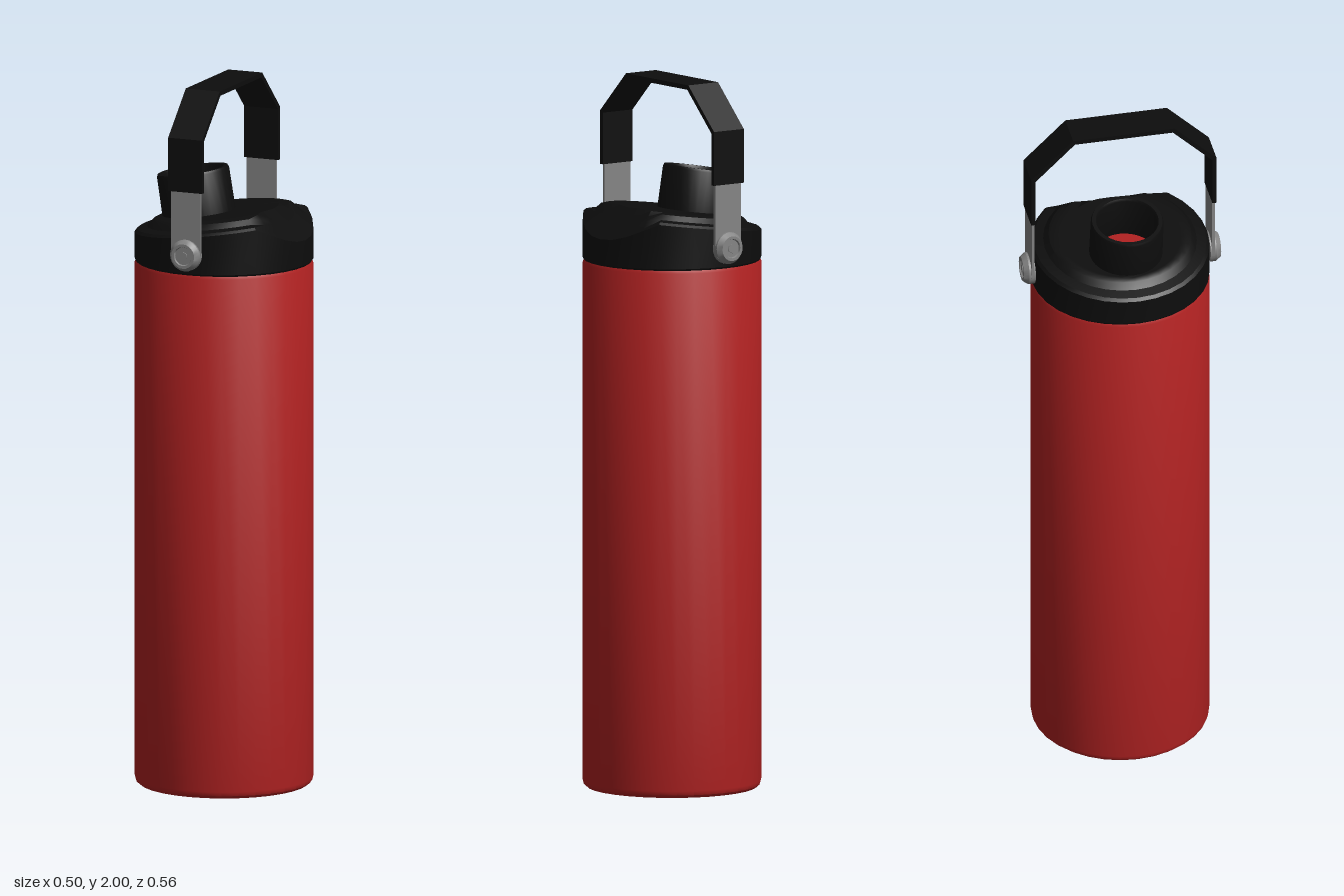
import * as THREE from 'three';
import { toCreasedNormals } from 'three/addons/utils/BufferGeometryUtils.js';

const SEG = 32;
const flat = (name, color, side = THREE.FrontSide) => {
  const m = new THREE.MeshStandardMaterial({ color, side });
  m.name = name;
  return m;
};

// Revolved profile with sharp edges kept
const lathe = (pts, seg = SEG) =>
  toCreasedNormals(new THREE.LatheGeometry(pts.map(([x, y]) => new THREE.Vector2(x, y)), seg), 0.6);

// Lid shell: circular rings whose height follows a tilted deck with a sloping front cut
function lidGeometry() {
  const deck = (x) => 1.63 + 0.125 * x;
  const cut = (x) => 1.65 - 0.85 * (x - 0.15);
  // radius, centre x, drop below the deck (null = fixed base height)
  const rings = [
    [0.247, 0, null], [0.25, 0, null], [0.25, 0, 0.032], [0.242, 0, 0.025], [0.215, 0, 0.02],
    [0.2, 0, 0.005], [0.185, -0.003, 0], [0.168, -0.015, 0], [0.092, -0.078, 0],
  ];
  const pos = [], idx = [];
  rings.forEach(([r, c, drop], j) => {
    for (let i = 0; i < SEG; i++) {
      const a = (i / SEG) * Math.PI * 2;
      const x = c + r * Math.cos(a);
      const y = drop === null ? 1.49 + j * 0.005 : Math.min(deck(x) - drop, cut(x));
      pos.push(x, y, r * Math.sin(a));
      if (j < rings.length - 1) {
        const A = j * SEG + i, B = j * SEG + ((i + 1) % SEG);
        idx.push(A, A + SEG, B, B, A + SEG, B + SEG);
      }
    }
  });
  const g = new THREE.BufferGeometry();
  g.setAttribute('position', new THREE.Float32BufferAttribute(pos, 3));
  g.setIndex(idx);
  return toCreasedNormals(g, 0.45);
}

// Carry strap: bent band outline in (z, y), extruded across x
function strapGeometry() {
  const outer = [[0.265, 1.73], [0.265, 1.882], [0.145, 2]];
  const inner = [[0.14, 1.987], [0.253, 1.876], [0.253, 1.73]];
  const mirror = (pts) => pts.map(([z, y]) => [-z, y]).reverse();
  const outline = [...outer, ...mirror(outer), ...mirror(inner), ...inner];
  const shape = new THREE.Shape(outline.map(([z, y]) => new THREE.Vector2(z, y)));
  const g = new THREE.ExtrudeGeometry(shape, { depth: 0.104, bevelEnabled: false });
  return g.rotateY(-Math.PI / 2).translate(0.052, 0, 0);
}

// Metal tab: straight top, round lower end
function tabGeometry() {
  const s = new THREE.Shape();
  s.moveTo(0.045, 1.55);
  s.lineTo(0.045, 1.74);
  s.lineTo(-0.045, 1.74);
  s.lineTo(-0.045, 1.55);
  s.absarc(0, 1.55, 0.045, Math.PI, Math.PI * 2, false);
  return new THREE.ExtrudeGeometry(s, { depth: 0.008, bevelEnabled: false, curveSegments: 12 })
    .translate(0, 0, 0.254);
}

export function createModel() {
  const red = flat('red paint', 0xb22222);
  const black = flat('black plastic', 0x0d0d0d);
  const shell = flat('black lid shell', 0x0d0d0d, THREE.DoubleSide);
  const steel = flat('steel', 0x858585);

  const model = new THREE.Group();
  model.name = 'bottle';
  const add = (parent, name, geometry, material) => {
    const m = new THREE.Mesh(geometry, material);
    m.name = name;
    parent.add(m);
    return m;
  };

  // Body with small bevels at both ends
  add(model, 'body', lathe([
    [0, 0], [0.238, 0], [0.247, 0.008], [0.25, 0.02], [0.25, 1.482], [0.246, 1.492], [0, 1.492],
  ]), red);

  // Lid and hollow, tilted spout
  add(model, 'lid', lidGeometry(), shell);
  const spout = add(model, 'spout', lathe([
    [0.103, -0.012], [0.102, 0.118], [0.099, 0.125], [0.088, 0.125], [0.084, 0.118], [0.09, -0.012],
  ]), shell);
  spout.position.set(-0.076, 1.615, 0);
  spout.rotation.z = 0.16;

  // Handle strap
  add(model, 'handleStrap', strapGeometry(), black);

  // Tab and pivot bolt on the front and back
  for (const [name, turn] of [['frontPivot', 0], ['backPivot', Math.PI]]) {
    const pivot = new THREE.Group();
    pivot.name = name;
    pivot.rotation.y = turn;
    add(pivot, 'handleTab', tabGeometry(), steel);
    const bolt = lathe([
      [0.045, 0], [0.045, 0.018], [0.035, 0.032], [0.027, 0.032], [0.025, 0.027], [0, 0.027],
    ], 24);
    add(pivot, 'bolt', bolt.rotateX(Math.PI / 2).translate(0, 1.55, 0.25), steel);
    const hex = new THREE.CylinderGeometry(0.013, 0.013, 0.005, 6);
    add(pivot, 'boltHex', hex.rotateX(Math.PI / 2).translate(0, 1.55, 0.2785), steel);
    model.add(pivot);
  }
  return model;
}
